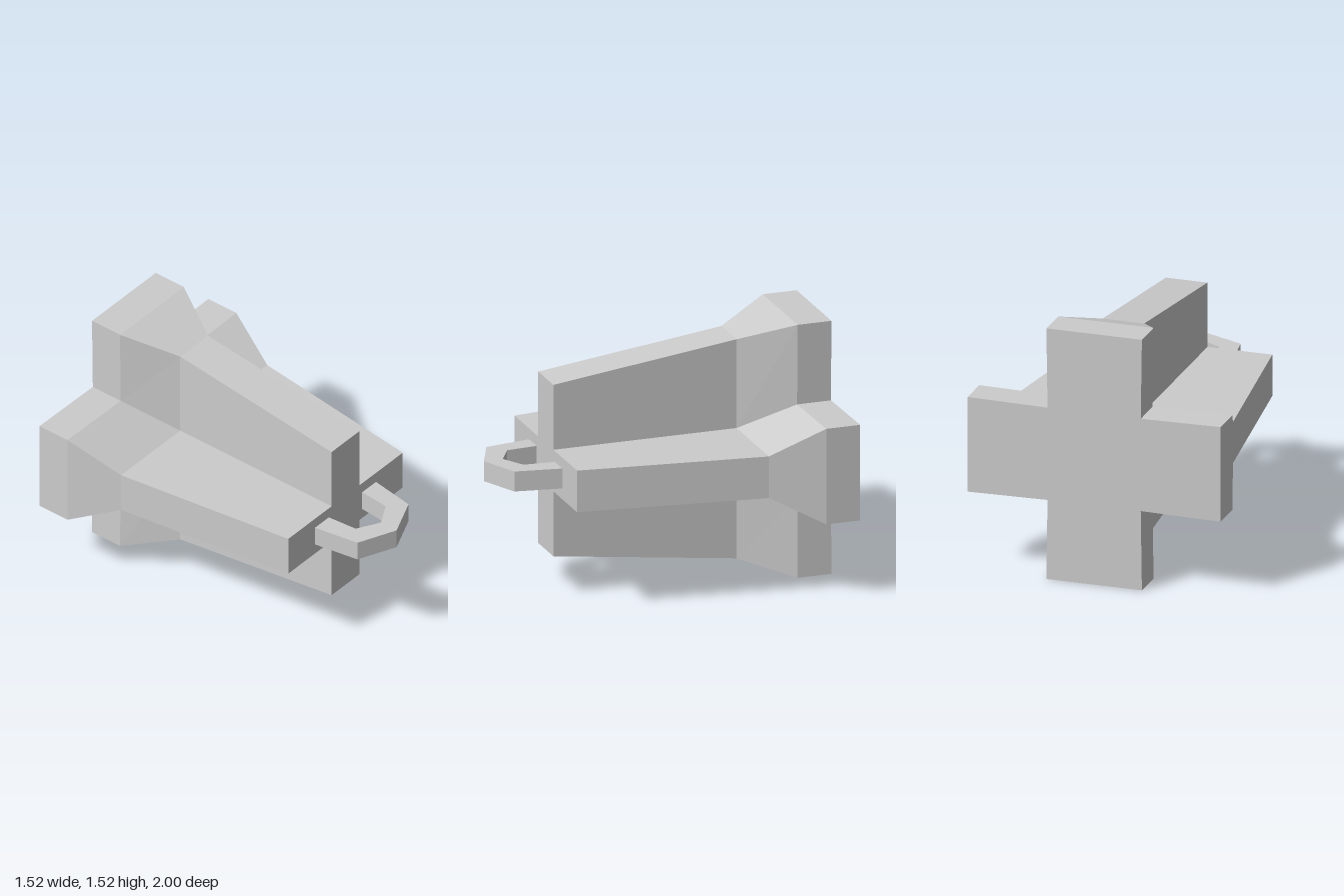
import * as THREE from 'three';

const CY = 0.7625; // height of the cross centre

// Corners of a cross, counter-clockwise seen from the front
function crossSection({ z, w, h, x, y, inner = [w, h] }) {
  const [ix, iy] = inner;
  const quarter = [[x, h], [ix, iy], [w, y]];
  const mirror = (sx, sy) => quarter.map(([a, b]) => [a * sx, b * sy]);
  return [
    ...mirror(1, 1),
    ...mirror(-1, 1).reverse(),
    ...mirror(-1, -1),
    ...mirror(1, -1).reverse(),
  ].map(([a, b]) => [a, CY + b, z]);
}

// Closed, flat-shaded skin through a row of sections, front to back
function loft(sections) {
  const pos = [];
  const tri = (a, b, c) => pos.push(...a, ...b, ...c);
  const n = sections[0].length;
  const first = sections[0], last = sections[sections.length - 1];
  const c0 = [0, CY, first[0][2]], c1 = [0, CY, last[0][2]];
  for (let i = 0; i < n; i++) {
    const j = (i + 1) % n;
    for (let s = 0; s < sections.length - 1; s++) {
      const a = sections[s], b = sections[s + 1];
      tri(a[i], b[i], b[j]);
      tri(a[i], b[j], a[j]);
    }
    tri(c0, first[i], first[j]);
    tri(c1, last[j], last[i]);
  }
  const geo = new THREE.BufferGeometry();
  geo.setAttribute('position', new THREE.Float32BufferAttribute(pos, 3));
  geo.computeVertexNormals();
  return geo;
}

export function createModel() {
  const group = new THREE.Group();
  const grey = new THREE.MeshStandardMaterial({ color: 0xcccccc });
  grey.name = 'plain grey';

  // Tapered cross body with a flared rear block
  const flare = { w: 0.287, h: 0.287, x: 0.76, y: 0.76, inner: [0.28, 0.28] };
  const body = new THREE.Mesh(loft([
    crossSection({ z: 0.625, w: 0.125, h: 0.125, x: 0.515, y: 0.515 }),
    crossSection({ z: -0.485, w: 0.125, h: 0.125, x: 0.658, y: 0.658 }),
    crossSection({ z: -0.795, ...flare }),
    crossSection({ z: -1, ...flare }),
  ]), grey);
  body.name = 'crossBody';
  group.add(body);

  // Pointed loop handle on the front, drawn in plan
  const plan = [
    [0.275, 0.62], [0.23, 0.9], [0, 1], [-0.23, 0.9], [-0.275, 0.62],
    [-0.15, 0.62], [-0.135, 0.81], [0, 0.885], [0.135, 0.81], [0.15, 0.62],
  ].map(([x, z]) => new THREE.Vector2(x, z));
  const loopGeo = new THREE.ExtrudeGeometry(new THREE.Shape(plan), { depth: 0.12, bevelEnabled: false });
  loopGeo.rotateX(Math.PI / 2).translate(0, 0.823, 0);
  const loop = new THREE.Mesh(loopGeo, grey);
  loop.name = 'frontLoop';
  group.add(loop);

  return group;
}
